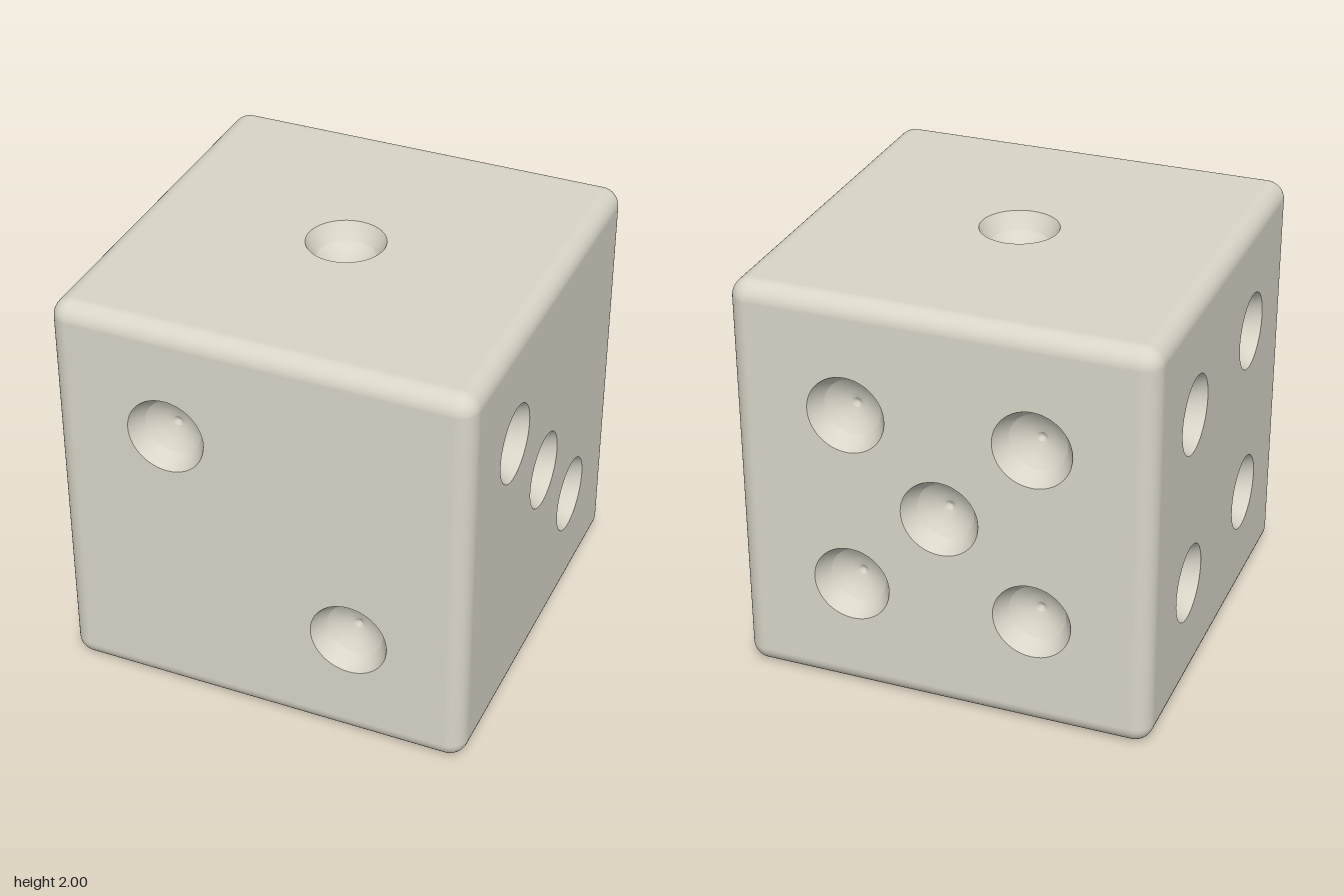
import * as THREE from 'three';
import { RoundedBoxGeometry } from 'three/addons/geometries/RoundedBoxGeometry.js';

const HALF = 1, FILLET = 0.09, PIP = 0.187, S = 0.44, SIDES = 48;

// Rounded edges and corners: a rounded box without its six flat faces
function roundedEdges() {
  const box = new RoundedBoxGeometry(2 * HALF, 2 * HALF, 2 * HALF, 6, FILLET);
  const src = box.index ? box.toNonIndexed() : box;
  const p = src.attributes.position, n = src.attributes.normal;
  const pos = [], nor = [];
  for (let i = 0; i < p.count; i += 3) {
    const flat = ['getX', 'getY', 'getZ'].some((get) =>
      [0, 1, 2].every((k) => Math.abs(p[get](i + k)) > HALF - 1e-4));
    if (flat) continue;
    for (let k = i; k < i + 3; k++) {
      pos.push(p.getX(k), p.getY(k), p.getZ(k));
      nor.push(n.getX(k), n.getY(k), n.getZ(k));
    }
  }
  const geo = new THREE.BufferGeometry();
  geo.setAttribute('position', new THREE.Float32BufferAttribute(pos, 3));
  geo.setAttribute('normal', new THREE.Float32BufferAttribute(nor, 3));
  return geo;
}

// Flat square face with a round hole for each pip
function faceGeometry(pips) {
  const h = HALF - FILLET;
  const shape = new THREE.Shape([[-h, -h], [h, -h], [h, h], [-h, h]].map(([x, y]) => new THREE.Vector2(x, y)));
  for (const [x, y] of pips) {
    shape.holes.push(new THREE.Path().absarc(x, y, PIP, 0, Math.PI * 2, true));
  }
  return new THREE.ShapeGeometry(shape, SIDES / 2);
}

// Hollow profiles from rim to centre; separate lathes keep the creases sharp
const hollowProfiles = {
  pipWall: [[PIP, 0], [0.165, -0.042], [0.137, -0.08]],
  pipBowl: [[0.137, -0.08], [0.1, -0.107], [0.06, -0.125], [0.024, -0.134]],
  pipPoint: [[0.024, -0.134], [0.012, -0.143], [0, -0.146]],
};

export function createModel() {
  const ivory = new THREE.MeshStandardMaterial({ color: 0xd9d5c8 });
  ivory.name = 'ivory';
  const model = new THREE.Group();
  model.name = 'die';
  const body = new THREE.Group();
  body.name = 'body';
  body.position.y = HALF;
  model.add(body);

  const add = (parent, geo, name) => {
    const mesh = new THREE.Mesh(geo, ivory);
    mesh.name = name;
    parent.add(mesh);
    return mesh;
  };
  add(body, roundedEdges(), 'roundedEdges');

  const hollows = Object.entries(hollowProfiles).map(([name, pts]) => [name,
    new THREE.LatheGeometry(pts.map(([x, y]) => new THREE.Vector2(x, y)), SIDES).rotateX(Math.PI / 2)]);

  // Pip layouts in face coordinates
  const one = [[0, 0]];
  const two = [[-S, S], [S, -S]];
  const four = [...two, [S, S], [-S, -S]];
  const six = [...four, [-S, 0], [S, 0]];
  const q = Math.PI / 2;
  const faces = [
    ['frontFace', 0, 0, two],
    ['rightFace', 0, q, [...two, ...one]],
    ['backFace', 0, 2 * q, [...four, ...one]],
    ['leftFace', 0, -q, four],
    ['topFace', -q, 0, one],
    ['bottomFace', q, 0, six],
  ];
  for (const [name, rx, ry, pips] of faces) {
    const side = new THREE.Group();
    side.name = name;
    side.rotation.set(rx, ry, 0);
    body.add(side);
    add(side, faceGeometry(pips), name + 'Panel').position.z = HALF;
    for (const [x, y] of pips) {
      const pip = new THREE.Group();
      pip.name = 'pip';
      pip.position.set(x, y, HALF);
      side.add(pip);
      for (const [part, geo] of hollows) add(pip, geo, part);
    }
  }
  return model;
}
